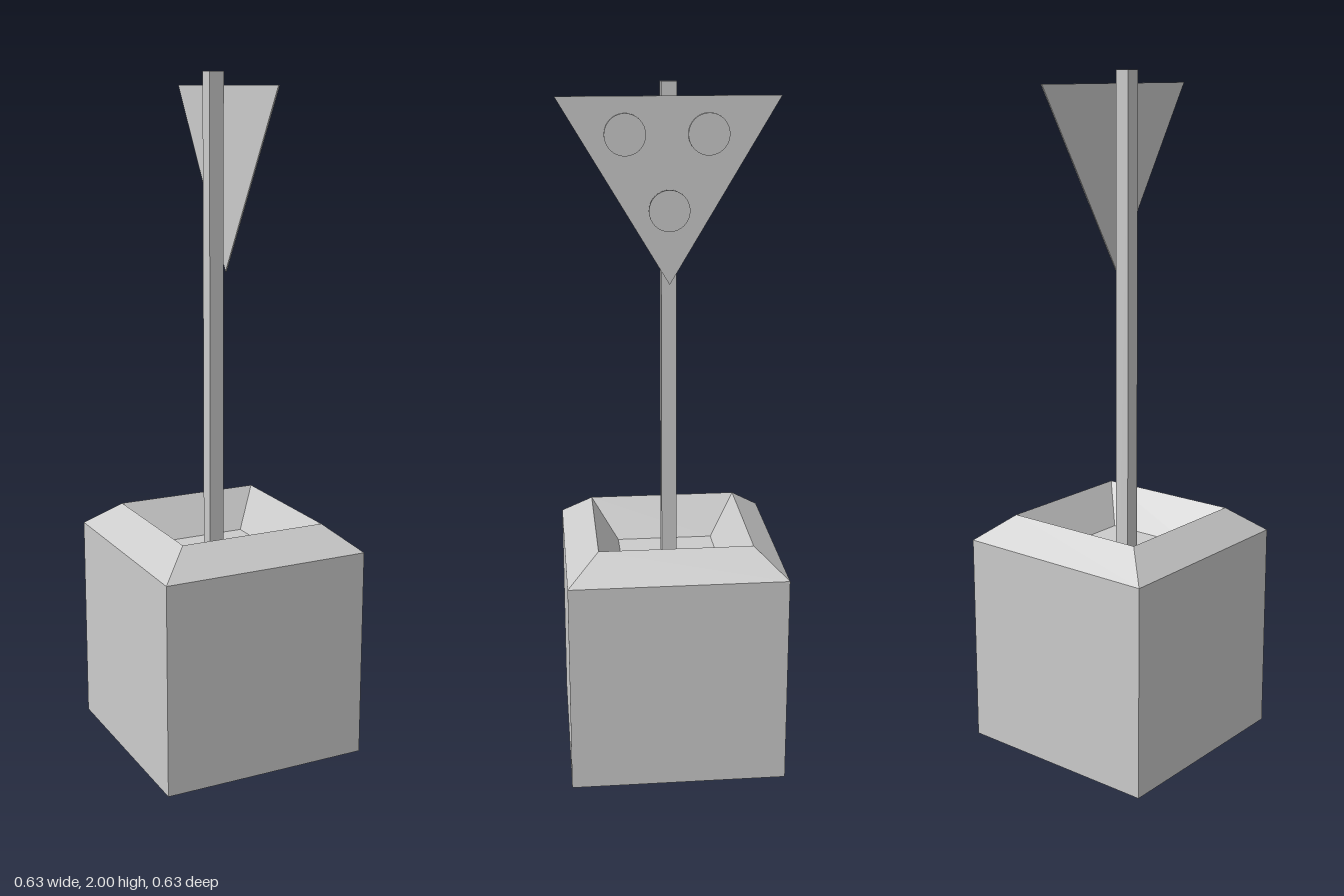
import * as THREE from 'three';

export function createModel() {
  const model = new THREE.Group();
  const flat = new THREE.MeshStandardMaterial({ color: 0xcccccc, flatShading: true });
  const smooth = new THREE.MeshStandardMaterial({ color: 0xcccccc });

  const add = (name, geometry, material, x = 0, y = 0, z = 0) => {
    const mesh = new THREE.Mesh(geometry, material);
    mesh.name = name;
    mesh.position.set(x, y, z);
    model.add(mesh);
    return mesh;
  };

  // Square planter: half-widths and heights from the underside over the rim to the sunken floor
  const profile = [[0, 0.01], [0.315, 0.01], [0.315, 0.64], [0.223, 0.715], [0.145, 0.6], [0, 0.6]]
    .map(([half, y]) => new THREE.Vector2(half * Math.SQRT2, y));
  const planter = new THREE.LatheGeometry(profile, 4, Math.PI / 4).toNonIndexed();
  planter.computeVertexNormals();
  add('planter', planter, flat);

  // Square post, running through the planter
  add('post', new THREE.BoxGeometry(0.044, 2, 0.044), flat, -0.019, 1, 0);

  // Thin triangular sign, point down, facing +x
  const triangle = new THREE.Shape([
    new THREE.Vector2(-0.315, 0), new THREE.Vector2(0, -0.523), new THREE.Vector2(0.312, 0),
  ]);
  const plate = new THREE.ExtrudeGeometry(triangle, { depth: 0.004, bevelEnabled: false });
  plate.rotateY(Math.PI / 2);
  const sign = add('signPlate', plate, flat, 0.0165, 1.963, 0);
  sign.rotation.z = 0.006;

  // Round reflectors standing just off the sign: x, y, z
  const reflectors = [[0.028, 1.86, 0.124], [0.028, 1.86, -0.109], [0.04, 1.652, 0.002]];
  for (const [x, y, z] of reflectors) {
    const disc = new THREE.CylinderGeometry(0.058, 0.058, 0.008, 32);
    disc.rotateZ(-Math.PI / 2);
    add('reflector', disc, smooth, x, y, z);
  }

  return model;
}
